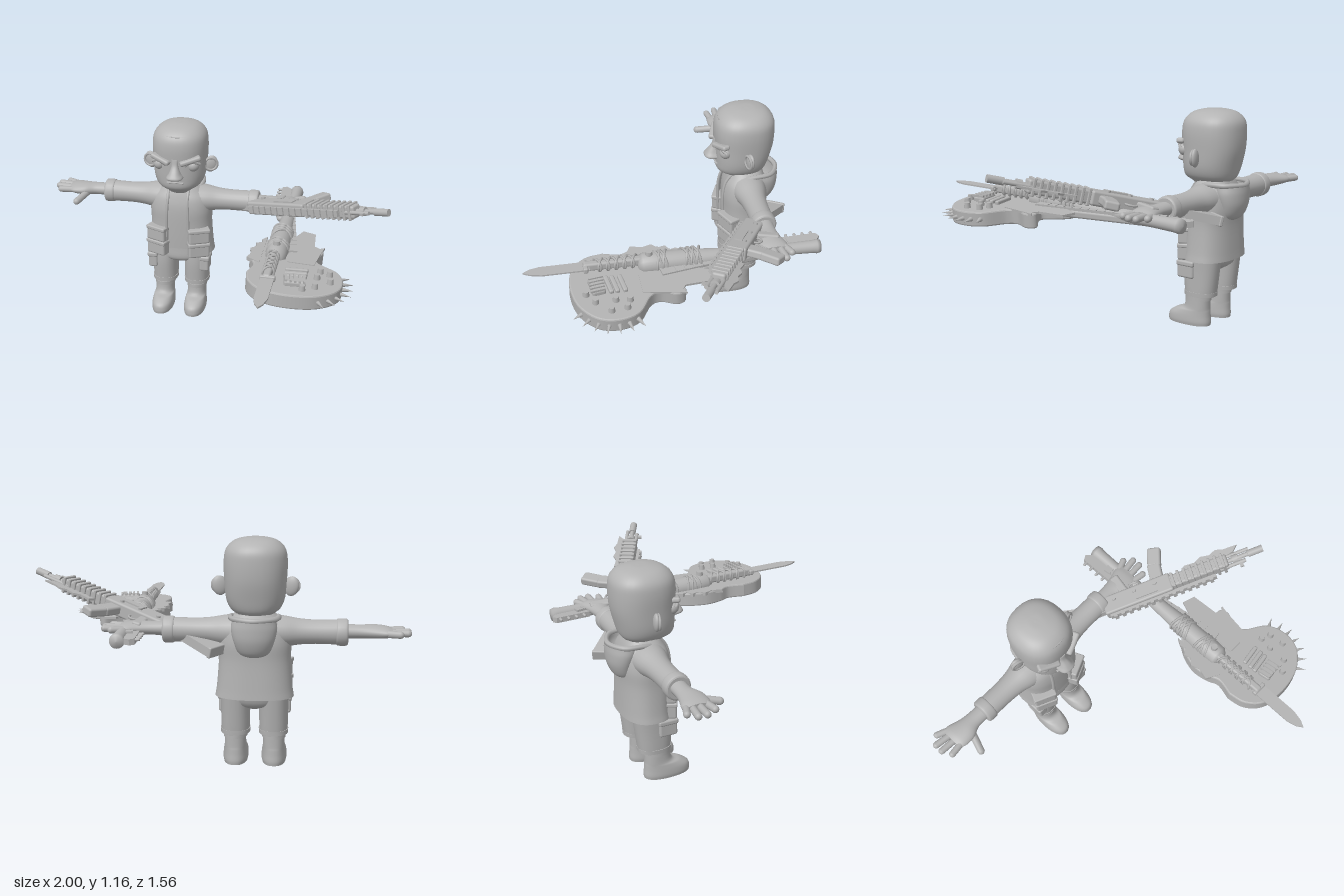
import * as THREE from 'three';
import { RoundedBoxGeometry } from 'three/addons/geometries/RoundedBoxGeometry.js';

const grey = new THREE.MeshStandardMaterial({ color: 0xb3b3b3 });
grey.name = 'plain grey';
const greyThin = grey.clone();
greyThin.name = 'plain grey two-sided';
greyThin.side = THREE.DoubleSide;

const V = (x, y, z) => new THREE.Vector3(x, y, z);

function add(parent, name, geo, pos = [0, 0, 0], rot = [0, 0, 0], mat = grey) {
  const m = new THREE.Mesh(geo, mat);
  m.name = name;
  m.position.set(...pos);
  m.rotation.set(...rot);
  parent.add(m);
  return m;
}
function group(parent, name, pos = [0, 0, 0], rot = [0, 0, 0]) {
  const g = new THREE.Group();
  g.name = name;
  g.position.set(...pos);
  g.rotation.set(...rot);
  parent.add(g);
  return g;
}
const box = (w, h, d) => new THREE.BoxGeometry(w, h, d);
const rbox = (w, h, d, r = 0.012) => new RoundedBoxGeometry(w, h, d, 2, r);
const ball = (r) => new THREE.SphereGeometry(r, 20, 14);
const tube = (pts, r, n = 24) => new THREE.TubeGeometry(new THREE.CatmullRomCurve3(pts), n, r, 6);

// Smooth skin over rings [y, centre z, half width x, half depth z]; gap leaves the front open
function loft(rings, { power = 2, gap = 0, caps = true, steps = 5, seg = 32 } = {}) {
  const mid = new THREE.CatmullRomCurve3(rings.map((r) => V(r[0], r[1], 0)), false, 'catmullrom');
  const size = new THREE.CatmullRomCurve3(rings.map((r) => V(r[2], r[3], 0)), false, 'catmullrom');
  const rows = (rings.length - 1) * steps, cols = gap ? seg + 1 : seg;
  const pos = [], idx = [];
  const sp = (v) => Math.sign(v) * Math.abs(v) ** (2 / power);
  const ring = (i) => {
    const c = mid.getPoint(i / rows), s = size.getPoint(i / rows);
    for (let j = 0; j < cols; j++) {
      const a = gap + (j / seg) * (2 * Math.PI - 2 * gap);
      pos.push(s.x * sp(Math.sin(a)), c.x, c.y + s.y * sp(Math.cos(a)));
    }
    return c;
  };
  for (let i = 0; i <= rows; i++) ring(i);
  for (let i = 0; i < rows; i++) for (let j = 0; j < seg; j++) {
    const k = (j + 1) % cols, a = i * cols + j, b = i * cols + k;
    idx.push(a, b, b + cols, a, b + cols, a + cols);
  }
  if (caps && !gap) for (const top of [false, true]) {
    const o = pos.length / 3, c = ring(top ? rows : 0);
    pos.push(0, c.x, c.y);
    for (let j = 0; j < cols; j++) {
      const k = (j + 1) % cols;
      idx.push(o + cols, o + (top ? j : k), o + (top ? k : j));
    }
  }
  const g = new THREE.BufferGeometry();
  g.setAttribute('position', new THREE.Float32BufferAttribute(pos, 3));
  g.setIndex(idx);
  g.computeVertexNormals();
  return g;
}
// Rounded stick between two points
function stick(parent, name, a, b, r) {
  const d = b.clone().sub(a);
  const m = add(parent, name, new THREE.CapsuleGeometry(r, d.length(), 5, 12), a.clone().add(b).multiplyScalar(0.5).toArray());
  m.quaternion.setFromUnitVectors(V(0, 1, 0), d.normalize());
}
// Flat outline in x and z, thickened downwards
function slab(points, depth, smooth, bevel = 0) {
  const p = points.map(([x, z]) => new THREE.Vector2(x, z));
  const s = new THREE.Shape();
  if (smooth) { s.moveTo(p[0].x, p[0].y); s.splineThru([...p.slice(1), p[0]]); } else s.setFromPoints(p);
  const g = new THREE.ExtrudeGeometry(s, { depth, curveSegments: 60, bevelEnabled: bevel > 0, bevelSize: bevel, bevelThickness: bevel, bevelSegments: 2 });
  return g.rotateX(Math.PI / 2);
}

function buildHead(man) {
  const head = group(man, 'head');
  add(head, 'skull', loft([[0.74, 0, 0.07, 0.08], [0.775, 0.02, 0.085, 0.11], [0.805, 0.025, 0.125, 0.138], [0.86, 0.02, 0.147, 0.15],
    [0.95, 0.012, 0.155, 0.162], [1.04, 0.012, 0.158, 0.166], [1.1, 0.01, 0.147, 0.155], [1.14, 0.008, 0.108, 0.115], [1.157, 0.005, 0.05, 0.055], [1.16, 0, 0.002, 0.002]], { power: 2.3 }));
  add(head, 'nose', loft([[0.862, 0.165, 0.028, 0.03], [0.878, 0.175, 0.048, 0.054], [0.905, 0.17, 0.034, 0.046], [0.945, 0.163, 0.021, 0.026], [0.985, 0.16, 0.024, 0.02]], { power: 2.6 }));
  add(head, 'mouth', rbox(0.1, 0.008, 0.02, 0.003), [0, 0.843, 0.165]);
  add(head, 'hairLine', tube([V(-0.13, 1.075, 0.105), V(-0.08, 1.105, 0.137), V(0, 1.11, 0.156), V(0.08, 1.105, 0.137), V(0.13, 1.075, 0.105)], 0.004));
  for (const s of [1, -1]) {
    add(head, 'eye', ball(0.034), [s * 0.098, 0.942, 0.132]);
    add(head, 'upperLid', tube([V(s * 0.055, 0.948, 0.165), V(s * 0.098, 0.972, 0.165), V(s * 0.138, 0.955, 0.135)], 0.008));
    add(head, 'brow', rbox(0.125, 0.028, 0.045), [s * 0.085, 0.978, 0.157], [0, s * 0.38, s * 0.27]);
    const ear = add(head, 'ear', ball(0.05), [s * 0.178, 0.915, 0.012], [0, s * 0.25, -s * 0.2]);
    ear.scale.set(0.75, 1, 0.36);
    add(head, 'earRim', new THREE.TorusGeometry(0.036, 0.008, 6, 20), [s * 0.18, 0.917, 0.024], [0, s * 0.25, 0]);
  }
}

function buildBody(man) {
  const body = group(man, 'body');
  add(body, 'shirt', loft([[0.36, 0, 0.175, 0.11], [0.5, 0, 0.17, 0.115], [0.64, 0, 0.165, 0.115], [0.72, 0, 0.15, 0.1], [0.79, 0, 0.075, 0.075]], { power: 2.4 }));
  const coat = [[0.365, -0.005, 0.197, 0.13], [0.42, -0.004, 0.189, 0.128], [0.55, 0, 0.18, 0.127], [0.64, 0, 0.182, 0.13], [0.71, 0, 0.17, 0.118], [0.755, -0.005, 0.13, 0.1], [0.785, -0.008, 0.098, 0.085]];
  add(body, 'jacket', loft(coat, { power: 2.4, gap: 0.3, caps: false, seg: 40 }), [0, 0, 0], [0, 0, 0], greyThin);
  add(body, 'pantsSeat', loft([[0.3, 0.01, 0.03, 0.06], [0.33, 0.01, 0.14, 0.1], [0.4, 0, 0.175, 0.112]], { power: 2.3 }));
  // Hood hanging open at the back
  add(body, 'hood', loft([[0.575, -0.1, 0.03, 0.02], [0.6, -0.108, 0.075, 0.05], [0.66, -0.118, 0.1, 0.066], [0.72, -0.11, 0.113, 0.08], [0.765, -0.1, 0.108, 0.088]], { caps: false }), [0, 0, 0], [0, 0, 0], greyThin);
  add(body, 'hoodRim', tube([V(-0.085, 0.745, 0.06), V(-0.118, 0.77, -0.03), V(-0.1, 0.772, -0.13), V(0, 0.77, -0.178), V(0.1, 0.772, -0.13), V(0.118, 0.77, -0.03), V(0.085, 0.745, 0.06)], 0.014, 40));

  for (const s of [1, -1]) {
    const side = group(man, s > 0 ? 'leftSide' : 'rightSide');
    side.scale.x = s;
    add(side, 'jacketEdge', tube([V(0.075, 0.365, 0.123), V(0.066, 0.5, 0.125), V(0.062, 0.64, 0.128), V(0.058, 0.72, 0.112), V(0.06, 0.78, 0.07)], 0.009));
    // Jacket and trouser pockets
    for (const y of [0.402, 0.49]) {
      add(side, 'jacketPocket', rbox(0.125, 0.085, 0.06), [0.122, y, 0.105], [0, 0.42, 0]);
      add(side, 'pocketFlap', rbox(0.132, 0.024, 0.066, 0.008), [0.122, y + 0.036, 0.106], [0, 0.42, 0]);
    }
    add(side, 'trouserPocket', rbox(0.055, 0.09, 0.1), [0.155, 0.31, 0.065]);
    add(side, 'trouserPocketFlap', rbox(0.062, 0.03, 0.108, 0.01), [0.157, 0.345, 0.065]);
    // Leg and boot
    add(side, 'trouserLeg', loft([[0.165, 0.015, 0.07, 0.086], [0.2, 0.014, 0.072, 0.09], [0.3, 0.012, 0.074, 0.1], [0.4, 0.005, 0.078, 0.105]], { power: 2.3 }), [0.096, 0, 0]);
    add(side, 'trouserHem', loft([[0.168, 0.015, 0.074, 0.09], [0.19, 0.015, 0.075, 0.091]], { power: 2.3, steps: 1 }), [0.096, 0, 0]);
    add(side, 'boot', loft([[0, 0.083, 0.06, 0.126], [0.02, 0.083, 0.064, 0.128], [0.05, 0.08, 0.063, 0.122], [0.078, 0.06, 0.059, 0.1], [0.1, 0.035, 0.055, 0.073], [0.18, 0.03, 0.054, 0.068]], { power: 2.3 }), [0.098, 0, 0]);
    add(side, 'bootCuff', loft([[0.14, 0.03, 0.06, 0.075], [0.162, 0.03, 0.06, 0.075]], { steps: 1 }), [0.098, 0, 0]);
    // Arm stretched sideways, cuff and hand
    const arm = group(side, 'arm', [0, 0.692, -0.005]);
    const along = (rings) => loft(rings, { seg: 24 }).rotateZ(-Math.PI / 2);
    add(arm, 'sleeve', along([[0.08, 0, 0.085, 0.1], [0.15, 0, 0.077, 0.087], [0.22, 0, 0.065, 0.07], [0.3, 0, 0.06, 0.063], [0.41, 0, 0.062, 0.062]]));
    add(arm, 'cuff', along([[0.4, 0, 0.058, 0.058], [0.41, 0, 0.067, 0.067], [0.45, 0, 0.067, 0.067], [0.46, 0, 0.058, 0.058]]));
    add(arm, 'hand', along([[0.44, 0, 0.036, 0.044], [0.52, 0, 0.034, 0.046], [0.58, 0.008, 0.035, 0.064], [0.64, 0.0, 0.03, 0.074], [0.675, -0.005, 0.02, 0.066]]), [0, 0.005, 0]);
    for (const [z0, x, z] of [[-0.05, 0.71, -0.078], [-0.025, 0.75, -0.04], [0.01, 0.752, 0.005], [0.045, 0.725, 0.058]])
      stick(arm, 'finger', V(0.64, 0.004, z0), V(x, 0.006, z), 0.018);
    stick(arm, 'thumb', V(0.57, -0.01, 0.04), V(0.605, -0.03, 0.142), 0.02);
  }
}

// Rifle: x along the barrel, y its own upward side
function buildRifle(root) {
  const gun = group(root, 'rifle');
  const f = V(0.85, 0.236, 0.48).normalize(), side = f.clone().cross(V(-0.49, 0, 0.87)).normalize();
  gun.matrixAutoUpdate = true;
  gun.quaternion.setFromRotationMatrix(new THREE.Matrix4().makeBasis(f, side.clone().cross(f), side));
  gun.position.set(-0.06, 0.613, -0.625);
  const rod = (name, r, a, b, y = 0, z = 0) => add(gun, name, new THREE.CylinderGeometry(r, r, b - a, 14), [(a + b) / 2, y, z], [0, 0, Math.PI / 2]);
  add(gun, 'stock', slab([[0, -0.09], [0, 0.035], [0.1, 0.03], [0.36, 0.03], [0.36, -0.03], [0.2, -0.04]], 0.045).rotateX(-Math.PI / 2), [0, 0, 0.0225 - 0.045]);
  add(gun, 'buttPlate', rbox(0.02, 0.13, 0.055, 0.006), [0, -0.027, 0]);
  add(gun, 'receiver', rbox(0.4, 0.105, 0.075), [0.51, 0, 0]);
  add(gun, 'ejectionCover', box(0.13, 0.04, 0.09), [0.56, 0.012, 0]);
  add(gun, 'grip', rbox(0.05, 0.13, 0.045), [0.43, -0.095, 0], [0, 0, -0.3]);
  add(gun, 'triggerGuard', new THREE.TorusGeometry(0.03, 0.006, 6, 16), [0.5, -0.055, 0]);
  add(gun, 'magazine', rbox(0.075, 0.11, 0.045), [0.64, -0.09, 0], [0, 0, 0.1]);
  add(gun, 'magazineEnd', rbox(0.075, 0.11, 0.045), [0.66, -0.18, 0], [0, 0, 0.28]);
  add(gun, 'handguard', rbox(0.35, 0.07, 0.07), [0.86, 0, 0]);
  for (let i = 0; i < 9; i++) add(gun, 'handguardRib', rbox(0.016, 0.085, 0.088, 0.004), [0.72 + i * 0.036, 0, 0]);
  add(gun, 'topRail', box(0.62, 0.018, 0.035), [0.64, 0.058, 0]);
  for (let i = 0; i < 14; i++) add(gun, 'railTooth', box(0.02, 0.012, 0.042), [0.36 + i * 0.043, 0.071, 0]);
  for (const x of [0.38, 0.5, 0.62]) add(gun, 'sidePin', new THREE.CylinderGeometry(0.012, 0.012, 0.095, 10), [x, -0.02, 0], [Math.PI / 2, 0, 0]);
  rod('barrel', 0.013, 1.0, 1.23);
  rod('gasTube', 0.011, 0.98, 1.13, 0.03);
  rod('lowerTube', 0.01, 0.98, 1.16, -0.028);
  rod('muzzleBrake', 0.02, 1.15, 1.235);
  rod('barrelCollar', 0.024, 1.06, 1.09);
  add(gun, 'frontSight', box(0.02, 0.05, 0.012), [1.1, 0.035, 0]);
  // Jagged blade under the handguard
  add(gun, 'jaggedBlade', slab([[0.78, -0.03], [0.8, -0.07], [0.86, -0.065], [0.9, -0.085], [0.95, -0.075], [0.99, -0.092], [1.03, -0.078], [1.11, -0.075], [1.08, -0.045], [1.02, -0.03]], 0.01).rotateX(-Math.PI / 2));
}

function buildGuitar(root) {
  const guitar = group(root, 'guitar', [0.55, 0.67, 0], [0, 0, -0.06]);
  const outline = [[0.31, 0.36], [0.33, 0.45], [0.4, 0.52], [0.52, 0.545], [0.66, 0.52], [0.76, 0.44], [0.785, 0.34], [0.75, 0.24], [0.65, 0.17], [0.625, 0.11], [0.655, 0.03],
    [0.63, -0.01], [0.57, 0.04], [0.5, 0.07], [0.45, 0], [0.39, -0.05], [0.33, 0.01], [0.295, 0.11], [0.305, 0.2], [0.33, 0.27]].map(([x, z]) => [x - 0.55, z]);
  add(guitar, 'guitarBody', slab(outline, 0.062, true, 0.008));
  add(guitar, 'splinteredHorn', slab([[-0.06, 0.2], [-0.055, -0.1], [-0.02, -0.19], [0.05, -0.17], [0.06, -0.02], [0.09, 0.0], [0.115, -0.02], [0.1, 0.06], [0.08, 0.2]], 0.012), [0, 0.012, 0]);
  add(guitar, 'splinteredEdge', slab([[-0.2, -0.06], [-0.225, -0.02], [-0.215, 0.01], [-0.25, 0.03], [-0.24, 0.07], [-0.27, 0.1], [-0.255, 0.15], [-0.272, 0.21], [-0.2, 0.25]], 0.02), [0, 0.011, 0]);
  const neck = group(guitar, 'neck', [-0.105, -0.002, -0.28], [0, 0.15, 0]);
  add(neck, 'neckBeam', rbox(0.06, 0.04, 0.74), [0, -0.01, 0]);
  add(neck, 'fretboard', box(0.055, 0.014, 0.74), [0, 0.016, 0]);
  for (let i = 0; i < 14; i++) add(neck, 'fret', box(0.056, 0.004, 0.005), [0, 0.024, -0.33 + i * 0.048]);
  add(guitar, 'headstock', slab([[-0.21, -0.58], [-0.215, -0.77], [-0.19, -0.785], [-0.16, -0.76], [-0.155, -0.7], [-0.13, -0.58]], 0.03), [0, 0.01, 0]);
  for (let i = 0; i < 4; i++) stick(guitar, 'tuningPeg', V(-0.2, 0, -0.75 + i * 0.045), V(-0.232, 0, -0.75 + i * 0.045), 0.008);
  // Pickups, bridge and knobs
  for (const z of [0.29, 0.33, 0.36]) add(guitar, 'pickup', rbox(0.12, 0.026, 0.024, 0.008), [0.0, 0.014, z], [0, 0.15, 0]);
  add(guitar, 'bridge', rbox(0.11, 0.035, 0.07), [0.005, 0.016, 0.42], [0, 0.15, 0]);
  for (let i = 0; i < 5; i++) add(guitar, 'bridgeSaddle', box(0.012, 0.012, 0.075), [-0.04 + i * 0.023, 0.036, 0.42], [0, 0.15, 0]);
  for (const [x, z] of [[0.12, 0.27], [0.17, 0.29], [0.11, 0.34], [0.18, 0.37], [0.11, 0.44], [0.05, 0.48]]) add(guitar, 'knob', new THREE.CylinderGeometry(0.014, 0.018, 0.032, 14), [x, 0.02, z]);
  // Spikes around the rim
  for (let i = 0; i < 7; i++) {
    const a = -0.45 + i * 0.24, d = V(Math.cos(a), 0, Math.sin(a));
    const m = add(guitar, 'rimSpike', new THREE.ConeGeometry(0.014, 0.075, 8), [0.005 + d.x * 0.262, -0.03, 0.335 + d.z * 0.235]);
    m.quaternion.setFromUnitVectors(V(0, 1, 0), d);
  }
}

// Club with a knife lashed to its end
function buildClub(root) {
  const club = group(root, 'knifeClub', [0.425, 0, 0]);
  const profile = [[0, -0.775], [0.034, -0.77], [0.038, -0.75], [0.034, -0.73], [0.031, -0.6], [0.033, -0.4], [0.042, -0.22], [0.054, -0.05], [0.057, 0.1], [0.054, 0.17], [0.035, 0.19], [0, 0.195]];
  add(club, 'club', new THREE.LatheGeometry(profile.map((p) => new THREE.Vector2(...p)), 24).rotateX(Math.PI / 2), [0, 0.69, 0], [-0.02, 0, 0]);
  add(club, 'knifeHandle', rbox(0.04, 0.045, 0.34), [-0.005, 0.713, 0.3]);
  add(club, 'knifeGuard', rbox(0.08, 0.03, 0.025, 0.008), [0, 0.714, 0.46]);
  add(club, 'knifeBlade', slab([[-0.034, 0.44], [0.034, 0.44], [0.034, 0.68], [0.02, 0.74], [0, 0.775], [-0.022, 0.74], [-0.034, 0.69]], 0.008), [0, 0.719, 0]);
  for (let i = 0; i < 10; i++) add(club, 'cordWrap', new THREE.TorusGeometry(0.057, 0.007, 6, 20), [0, 0.693, -0.12 + i * 0.014 + (i > 5 ? 0.09 : 0)], [0, i % 2 ? 0.35 : -0.3, 0]);
  for (let i = 0; i < 10; i++) add(club, 'knifeCord', new THREE.TorusGeometry(0.034, 0.006, 6, 16), [-0.005, 0.713, 0.21 + i * 0.021], [0, i % 2 ? 0.55 : -0.55, 0]);
  add(club, 'clubStud', new THREE.CylinderGeometry(0.017, 0.02, 0.035, 12), [0, 0.75, 0.135]);
}

export function createModel() {
  const model = new THREE.Group();
  model.name = 'armedFigure';
  const man = group(model, 'figure', [-0.23, 0, -0.52]);
  buildHead(man);
  buildBody(man);
  buildRifle(model);
  buildGuitar(model);
  buildClub(model);
  return model;
}
